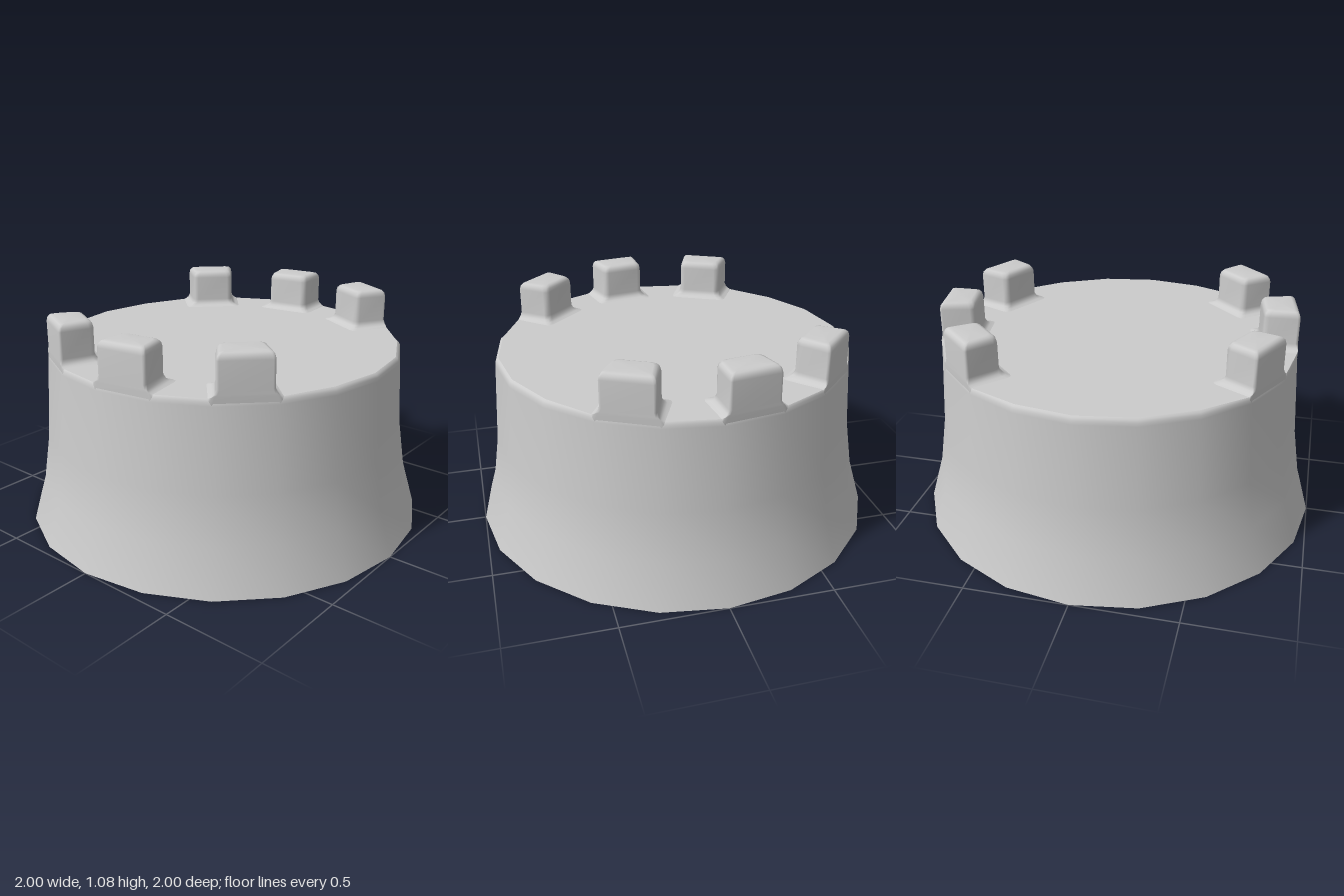
import * as THREE from 'three';

const SIDES = 20, STEP = (Math.PI * 2) / SIDES;
const TOP = 0.88, APOTHEM = 0.875 * Math.cos(STEP / 2);
const MERLONS = [2, 4, 6, 12, 14, 16]; // wall segments that carry a merlon

const material = new THREE.MeshStandardMaterial({ color: 0xcccccc, side: THREE.DoubleSide });

// Keep a point inside the twenty-sided wall outline
function clampToWall(x, z) {
  const a = Math.atan2(z, x);
  const mid = (Math.floor(a / STEP) + 0.5) * STEP;
  const limit = APOTHEM / Math.cos(a - mid);
  const s = Math.min(1, limit / Math.hypot(x, z));
  return [x * s, z * s];
}

// Rounded trapezoid, 12 points: outer, inner, inner, outer corner
function merlonSection(segment, inset) {
  const wo = 0.125 - inset, wi = 0.108 - inset;
  const vo = APOTHEM - inset, vi = 0.693 + inset;
  const corners = [[-wo, vo], [-wi, vi], [wi, vi], [wo, vo]].map((c) => new THREE.Vector2(...c));
  const angle = (segment + 0.5) * STEP, cos = Math.cos(angle), sin = Math.sin(angle);
  const points = [];
  corners.forEach((c, i) => {
    const r = i === 0 || i === 3 ? 0.014 : 0.026;
    const toward = (n) => n.clone().sub(c).setLength(r).add(c);
    const a = toward(corners[(i + 3) % 4]), b = toward(corners[(i + 1) % 4]);
    const m = a.clone().add(b).add(c).add(c).multiplyScalar(0.25);
    for (const p of [a, m, b]) {
      points.push(clampToWall(cos * p.y - sin * p.x, sin * p.y + cos * p.x));
    }
  });
  return points;
}

// Hollow merlon: flared foot, straight sides, rounded top
function merlonGeometry(segment) {
  const rings = [[TOP, -0.038], [0.886, -0.02], [0.896, -0.008], [0.915, 0],
    [1.04, 0], [1.058, 0.004], [1.07, 0.013], [1.075, 0.028]];
  const pos = [], index = [], N = 12;
  rings.forEach(([y, inset], k) => {
    merlonSection(segment, inset).forEach(([x, z], i) => {
      // The outer edge of the foot runs down into the wall
      const drop = k > 0 ? 0 : i === 0 || i === 11 ? 0.03 : i === 1 || i === 10 ? 0.015 : 0;
      pos.push(x, y - drop, z);
    });
  });
  for (let k = 0; k < rings.length - 1; k++) {
    for (let i = 0; i < N; i++) {
      const j = (i + 1) % N, a = k * N + i, b = k * N + j;
      index.push(a, b, b + N, a, b + N, a + N);
    }
  }
  const angle = (segment + 0.5) * STEP, last = (rings.length - 1) * N;
  pos.push(Math.cos(angle) * 0.78, 1.075, Math.sin(angle) * 0.78);
  for (let i = 0; i < N; i++) index.push(last + i, last + ((i + 1) % N), rings.length * N);
  const g = new THREE.BufferGeometry();
  g.setAttribute('position', new THREE.Float32BufferAttribute(pos, 3));
  g.setIndex(index);
  g.computeVertexNormals();
  return g;
}

// Roof outline, notched where the merlons rise from it
function roofGeometry() {
  const outline = [];
  for (let k = 0; k < SIDES; k++) {
    const merlon = MERLONS.includes(k);
    if (!merlon && !MERLONS.includes((k + SIDES - 1) % SIDES)) {
      outline.push(new THREE.Vector2(Math.cos(k * STEP) * 0.858, -Math.sin(k * STEP) * 0.858));
    }
    if (merlon) {
      merlonSection(k, -0.038).slice(2, 10).forEach(([x, z]) => outline.push(new THREE.Vector2(x, -z)));
    }
  }
  return new THREE.ShapeGeometry(new THREE.Shape(outline)).rotateX(-Math.PI / 2).translate(0, TOP, 0);
}

export function createModel() {
  const group = new THREE.Group();
  group.name = 'towerTop';
  const add = (name, geometry) => {
    const mesh = new THREE.Mesh(geometry, material);
    mesh.name = name;
    group.add(mesh);
  };

  // Flared wall, open underneath, with a softened rim
  const profile = [[1, 0], [0.935, 0.22], [0.9, 0.45], [0.875, 0.845], [0.873, 0.862], [0.867, 0.874], [0.858, TOP]];
  add('wall', new THREE.LatheGeometry(profile.map((p) => new THREE.Vector2(...p)), SIDES));
  add('roof', roofGeometry());
  MERLONS.forEach((s, i) => add('merlon' + (i + 1), merlonGeometry(s)));
  return group;
}
